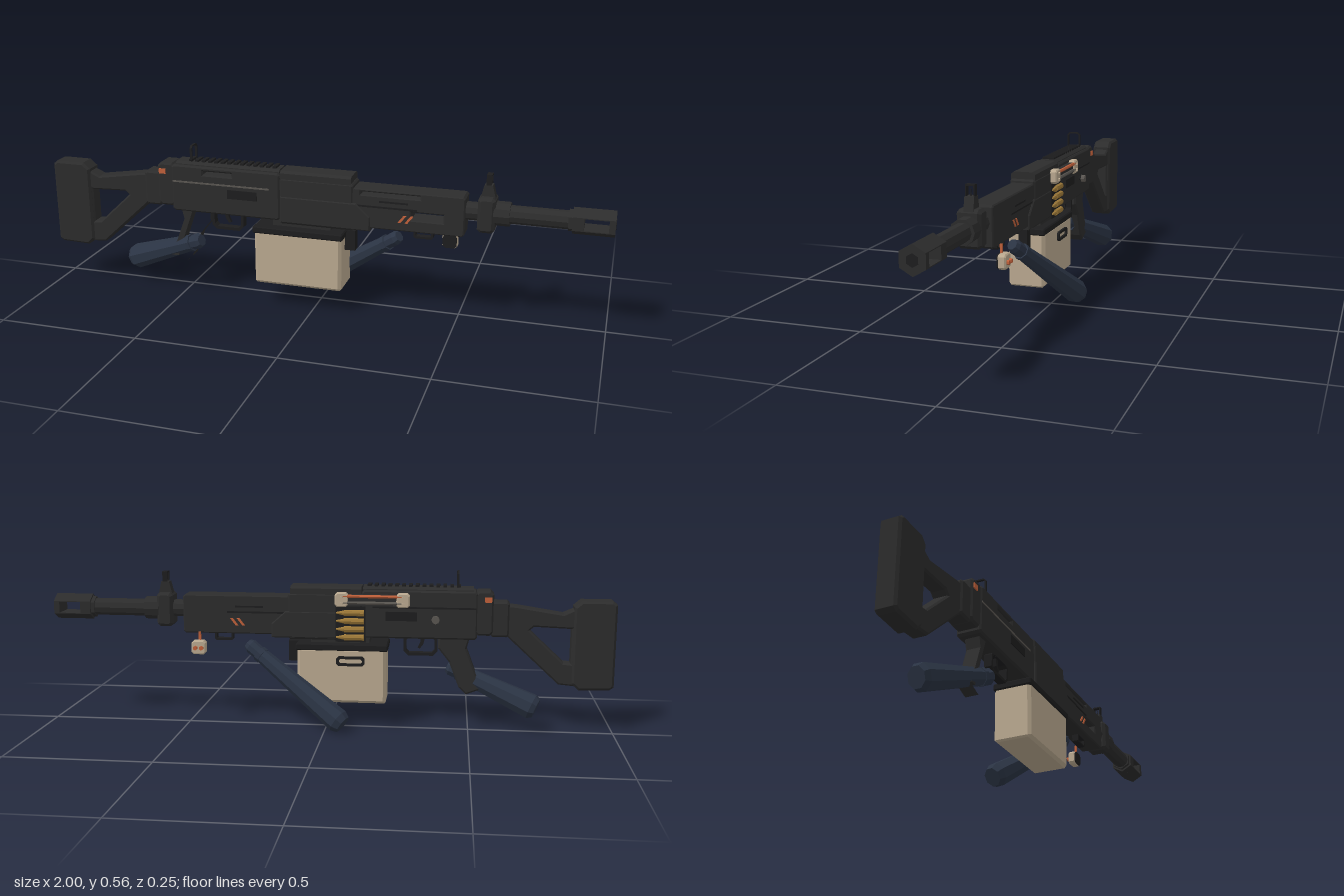
import * as THREE from 'three';

const mat = (name, color) => Object.assign(new THREE.MeshStandardMaterial({ color, flatShading: true }), { name });
const ZC = 0.057; // centre plane of the gun

export function createModel() {
  const root = new THREE.Group();
  const M = {
    dark: mat('gunmetal', 0x2c2c2c), black: mat('black', 0x1d1d1e), grey: mat('worn grey', 0x5a5651),
    tan: mat('tan', 0xbaa990), navy: mat('navy sleeve', 0x2b3444), orange: mat('orange', 0xc0603a),
    brass: mat('brass', 0x9c7838),
  };
  const add = (name, geo, m) => {
    const mesh = new THREE.Mesh(geo, m);
    mesh.name = name;
    root.add(mesh);
    return mesh;
  };
  // box given by its limits
  const box = (name, m, x0, x1, y0, y1, z0, z1) =>
    add(name, new THREE.BoxGeometry(x1 - x0, y1 - y0, z1 - z0).translate((x0 + x1) / 2, (y0 + y1) / 2, (z0 + z1) / 2), m);
  const rect = (x0, x1, y0, y1, c = 0) => c
    ? [[x0 + c, y0], [x1 - c, y0], [x1, y0 + c], [x1, y1 - c], [x1 - c, y1], [x0 + c, y1], [x0, y1 - c], [x0, y0 + c]]
    : [[x0, y0], [x1, y0], [x1, y1], [x0, y1]];
  const vecs = (pts) => pts.map((p) => new THREE.Vector2(...p));
  // side profile extruded across the gun, with chamfered edges
  const slab = (name, m, pts, z0, z1, b = 0, holes = []) => {
    const s = new THREE.Shape(vecs(pts));
    holes.forEach((h) => s.holes.push(new THREE.Path(vecs(h))));
    const g = new THREE.ExtrudeGeometry(s, {
      depth: z1 - z0 - 2 * b, bevelEnabled: b > 0, bevelSize: b, bevelThickness: b, bevelOffset: -b, bevelSegments: 1,
    });
    return add(name, g.translate(0, 0, z0 + b), m);
  };
  // cross-section (z, y) extruded along the gun
  const beam = (name, m, pts, x0, x1) => {
    const g = new THREE.ExtrudeGeometry(new THREE.Shape(vecs(pts)), { depth: x1 - x0, bevelEnabled: false });
    return add(name, g.rotateY(Math.PI / 2).translate(x0, 0, ZC), m);
  };
  // tapered prism between two points
  const rod = (name, m, a, b, ra, rb, n = 8) => {
    const A = new THREE.Vector3(...a), B = new THREE.Vector3(...b), d = B.clone().sub(A);
    const g = new THREE.CylinderGeometry(rb, ra, d.length(), n);
    const mesh = add(name, g, m);
    mesh.position.copy(A).add(B).multiplyScalar(0.5);
    mesh.quaternion.setFromUnitVectors(new THREE.Vector3(0, 1, 0), d.normalize());
    return mesh;
  };
  // plate seen only from the back side
  const backPlate = (name, x0, x1, y0, y1, z) =>
    add(name, new THREE.PlaneGeometry(x1 - x0, y1 - y0).rotateY(Math.PI).translate((x0 + x1) / 2, (y0 + y1) / 2, z), M.dark);
  const frame = (name, x0, x1, y0, y1, t, z0, z1, c) =>
    slab(name, M.black, rect(x0, x1, y0, y1, c), z0, z1, 0, [rect(x0 + t, x1 - t, y0 + t, y1 - t, c * 0.6)]);
  const both = (fn) => [1, -1].forEach(fn);

  // Stock
  slab('buttPad', M.dark, [[-1, 0.165], [-0.985, 0.155], [-0.88, 0.152], [-0.855, 0.175], [-0.855, 0.445], [-0.88, 0.467],
    [-0.985, 0.467], [-1, 0.455]], ZC - 0.036, ZC + 0.036, 0.008);
  slab('stock', M.dark, [[-0.865, 0.165], [-0.81, 0.17], [-0.625, 0.34], [-0.6, 0.34], [-0.6, 0.45], [-0.66, 0.445], [-0.82, 0.42],
    [-0.865, 0.44]], ZC - 0.028, ZC + 0.028, 0.006, [[[-0.85, 0.245], [-0.825, 0.248], [-0.705, 0.36], [-0.72, 0.373], [-0.85, 0.368]]]);
  slab('stockJoint', M.dark, rect(-0.635, -0.57, 0.335, 0.46, 0.008), ZC - 0.034, ZC + 0.034, 0.007);
  slab('rearBlock', M.dark, rect(-0.58, -0.515, 0.34, 0.497, 0.012), ZC - 0.04, ZC + 0.04, 0.007);
  both((s) => box('stockButton', M.orange, -0.573, -0.548, 0.458, 0.476, ZC + s * 0.041 - 0.003, ZC + s * 0.041 + 0.003));

  // Receiver
  slab('receiver', M.dark, rect(-0.525, -0.122, 0.325, 0.495, 0.008), ZC - 0.044, ZC + 0.044, 0.006, [rect(-0.405, -0.3, 0.467, 0.478)]);
  backPlate('receiverBackSkin', -0.42, -0.285, 0.458, 0.486, ZC - 0.0445);
  const lid = (h, y0, y1) => [[-h, y0], [h, y0], [h, y1 - 0.008], [h - 0.01, y1], [0.01 - h, y1], [-h, y1 - 0.008]];
  beam('topCover', M.dark, lid(0.035, 0.485, 0.506), -0.51, -0.125);
  for (let i = 0; i < 14; i++) box('railTooth', M.black, -0.465 + i * 0.024, -0.452 + i * 0.024, 0.5, 0.513, ZC - 0.022, ZC + 0.022);
  slab('frontReceiver', M.dark, rect(-0.122, 0.14, 0.315, 0.48, 0.006), ZC - 0.045, ZC + 0.045, 0.006);
  beam('feedCover', M.dark, lid(0.043, 0.46, 0.505), -0.12, 0.132);
  slab('sidePanel', M.dark, [[-0.12, 0.32], [0.2, 0.32], [0.2, 0.37], [0.15, 0.415], [-0.12, 0.415]], ZC - 0.047, ZC + 0.048, 0.004);
  both((s) => {
    const z = ZC + s * 0.0445;
    box('sideGroove', s > 0 ? M.grey : M.black, -0.52, -0.16, 0.432, 0.438, z - 0.001, z + 0.001);
    box('ejectionPort', M.black, -0.315, -0.205, 0.388, 0.42, z - 0.002, z + 0.002);
  });

  // Handguard with lightening slots
  slab('handguard', M.dark, rect(0.135, 0.52, 0.33, 0.468, 0.007), ZC - 0.041, ZC + 0.041, 0.004,
    [rect(0.165, 0.37, 0.447, 0.458), rect(0.34, 0.45, 0.372, 0.4)]);
  backPlate('handguardBackSkin', 0.15, 0.47, 0.362, 0.463, ZC - 0.0415);
  both((s) => {
    const z = ZC + s * 0.042;
    [[0.14, 0.36, 0.405], [0.23, 0.33, 0.425]].forEach(([a, b, y]) => box('guardLine', M.black, a, b, y, y + 0.006, z - 0.001, z + 0.001));
    for (let i = 0; i < 2; i++) {
      const x = 0.295 + i * 0.024;
      slab('orangeSlash', M.orange, [[x, 0.36], [x + 0.01, 0.36], [x + 0.03, 0.386], [x + 0.02, 0.386]], z - 0.002, z + 0.002);
    }
  });
  frame('slingLoop', 0.345, 0.412, 0.3, 0.335, 0.007, ZC - 0.012, ZC + 0.012, 0.005);

  // Barrel and muzzle
  const Y = 0.413, alongX = (name, m, x0, x1, r, n) => rod(name, m, [x0, Y, ZC], [x1, Y, ZC], r, r, n);
  alongX('barrel', M.dark, 0.515, 0.87, 0.031, 10);
  alongX('barrelCollar', M.dark, 0.612, 0.665, 0.041, 10);
  slab('gasBlock', M.dark, rect(0.56, 0.618, 0.35, 0.472, 0.01), ZC - 0.04, ZC + 0.04, 0.01);
  const hex = (r) => [...Array(6)].map((_, i) => [r * Math.sin(i * Math.PI / 3), Y + r * Math.cos(i * Math.PI / 3)]).reverse();
  beam('muzzleRear', M.dark, hex(0.046), 0.865, 0.902);
  beam('muzzleFront', M.dark, hex(0.046), 0.98, 1);
  beam('muzzleLip', M.dark, hex(0.038), 0.852, 0.866);
  both((s) => {
    const pts = [[-0.04, 0.02], [0.04, 0.02], [0.04, 0.023], [0, 0.046], [-0.04, 0.023]].map(([z, y]) => [z, Y + s * y]);
    beam('muzzleBar', M.dark, s > 0 ? pts : pts.reverse(), 0.9, 0.982);
  });
  beam('bore', M.black, hex(0.02), 0.999, 1.0015);

  // Sights
  slab('frontSightBase', M.dark, [[0.565, 0.465], [0.615, 0.465], [0.604, 0.51], [0.576, 0.51]], ZC - 0.016, ZC + 0.016);
  both((s) => box('frontSightWing', M.black, 0.582, 0.6, 0.505, 0.545, ZC + s * 0.0135 - 0.002, ZC + s * 0.0135 + 0.002));
  box('frontSightTop', M.black, 0.582, 0.6, 0.541, 0.546, ZC - 0.015, ZC + 0.015);
  rod('sightPost', M.black, [0.591, 0.505, ZC], [0.591, 0.533, ZC], 0.003, 0.001, 5);
  const rear = frame('rearSight', -0.025, 0.025, 0.5, 0.563, 0.005, -0.004, 0.004, 0.009);
  rear.rotation.y = Math.PI / 2;
  rear.position.set(-0.455, 0, ZC);

  // Trigger and pistol grip, open towards the front side
  frame('triggerGuard', -0.388, -0.268, 0.26, 0.335, 0.01, ZC - 0.014, ZC + 0.014, 0.016);
  slab('trigger', M.black, [[-0.345, 0.33], [-0.338, 0.3], [-0.325, 0.283], [-0.318, 0.287], [-0.327, 0.305], [-0.328, 0.33]], ZC - 0.006, ZC + 0.006);
  const grip = slab('grip', M.dark, [[-0.545, 0.145], [-0.49, 0.125], [-0.465, 0.15], [-0.43, 0.24], [-0.39, 0.29], [-0.39, 0.33], [-0.5, 0.33],
    [-0.49, 0.29]], ZC - 0.028, ZC + 0.028, 0.006);
  const p = grip.geometry.getAttribute('position').array, n = grip.geometry.getAttribute('normal').array, keep = [];
  for (let i = 0; i < p.length; i += 9) if (n[i + 2] < 0.3) keep.push(...p.slice(i, i + 9));
  grip.geometry = new THREE.BufferGeometry().setAttribute('position', new THREE.Float32BufferAttribute(keep, 3));
  grip.geometry.computeVertexNormals();
  slab('gripBackstrap', M.dark, [[-0.545, 0.145], [-0.52, 0.145], [-0.475, 0.275], [-0.455, 0.33], [-0.5, 0.33], [-0.49, 0.29]], ZC - 0.02, ZC + 0.026);

  // Ammunition box
  slab('ammoBox', M.tan, rect(-0.21, 0.105, 0.092, 0.29, 0.006), -0.01, 0.124, 0.01);
  slab('ammoLid', M.black, rect(-0.215, 0.11, 0.28, 0.305, 0.004), -0.012, 0.128, 0.004);
  frame('boxHandle', -0.135, -0.035, 0.228, 0.262, 0.009, -0.018, -0.008, 0.008);
  box('boxLatch', M.black, 0.1, 0.142, 0.232, 0.305, 0.04, 0.072);
  box('boxNeck', M.dark, -0.15, 0.06, 0.295, 0.33, 0.02, 0.094);

  // Cartridges and side unit on the back
  box('feedTray', M.black, -0.135, -0.03, 0.31, 0.437, 0.008, 0.015);
  for (let i = 0; i < 4; i++) {
    const y = 0.327 + i * 0.029;
    rod('cartridge', M.brass, [-0.13, y, 0.006], [-0.06, y, 0.006], 0.011, 0.011, 8);
    rod('bulletTip', M.brass, [-0.06, y, 0.006], [-0.032, y, 0.006], 0.009, 0.003, 8);
  }
  [-0.29, -0.075].forEach((x) => slab('unitCap', M.tan, rect(x, x + 0.047, 0.437, 0.487, 0.008), -0.011, 0.016, 0.004));
  box('unitCore', M.dark, -0.25, -0.07, 0.442, 0.48, -0.004, 0.015);
  [0.452, 0.475].forEach((y, i) => rod('unitRod', i ? M.orange : M.grey, [-0.265, y, -0.006], [-0.05, y, -0.006], 0.006, 0.006, 6));
  [-0.267, -0.052].forEach((x) => [0.45, 0.472].forEach((y) => rod('unitBolt', M.tan, [x, y, -0.01], [x, y, -0.016], 0.006, 0.006, 6)));
  rod('chargingStem', M.black, [-0.38, 0.397, 0.016], [-0.38, 0.397, 0], 0.007, 0.007, 6);
  rod('chargingKnob', M.grey, [-0.38, 0.397, 0.002], [-0.38, 0.397, -0.012], 0.014, 0.014, 8);

  // Hanging charm
  box('charmStrap', M.orange, 0.456, 0.464, 0.3, 0.335, 0.008, 0.016);
  slab('charm', M.tan, rect(0.435, 0.487, 0.256, 0.306, 0.008), -0.011, 0.017, 0.004);
  slab('charmBacking', M.black, rect(0.437, 0.485, 0.258, 0.304, 0.008), 0.015, 0.02);
  [0.45, 0.472].forEach((x) => rod('charmStud', M.orange, [x, 0.28, -0.01], [x, 0.28, -0.02], 0.008, 0.008, 6));

  // Sleeves: wrist cuff, flared forearm, chamfered end
  const sleeve = (name, a, b, rw, re) => {
    const A = new THREE.Vector3(...a), B = new THREE.Vector3(...b);
    const at = (t) => A.clone().lerp(B, t).toArray();
    [[0, 0.035, 0.7, 0.95], [0.035, 0.13, 0.95, 0.9], [0.12, 0.16, 1.08, 1.08]].forEach(([t0, t1, r0, r1]) =>
      rod(name + 'Cuff', M.navy, at(t0), at(t1), rw * r0, rw * r1, 8));
    rod(name + 'Forearm', M.navy, at(0.16), at(0.95), rw, re, 8);
    rod(name + 'End', M.navy, at(0.95), at(1), re, re * 0.78, 8);
  };
  sleeve('frontSleeve', [0.29, 0.29, 0.04], [-0.065, 0.033, -0.085], 0.027, 0.043);
  sleeve('rearSleeve', [-0.425, 0.215, 0.085], [-0.735, 0.088, 0.005], 0.03, 0.046);

  return root;
}
